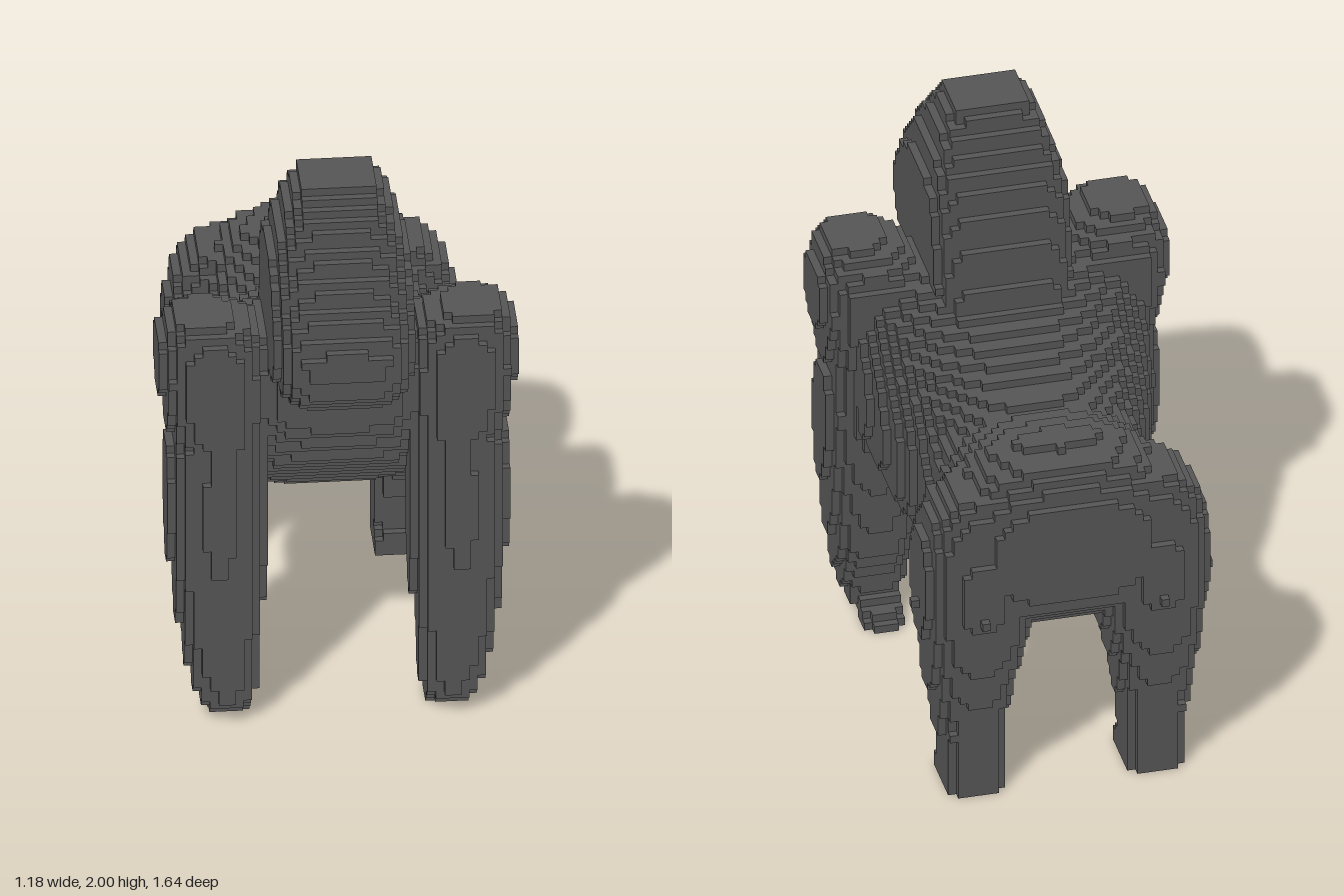
import * as THREE from 'three';

const V = 2 / 73; // edge of one cube

// Row of a cross-section: [position along axis, x min, x max, other min, other max]
const HEAD = [
  [1.29, -0.18, 0.18, 0.05, 0.70], [1.34, -0.22, 0.22, 0.08, 0.76], [1.40, -0.235, 0.235, 0.09, 0.80],
  [1.52, -0.235, 0.235, 0.11, 0.825], [1.60, -0.235, 0.235, 0.13, 0.78], [1.70, -0.23, 0.23, 0.16, 0.71],
  [1.80, -0.205, 0.205, 0.195, 0.645], [1.90, -0.17, 0.17, 0.245, 0.58], [2.01, -0.115, 0.115, 0.32, 0.485],
];
const BODY = [
  [-0.80, -0.22, 0.22, 0.81, 1.09], [-0.76, -0.31, 0.31, 0.72, 1.16], [-0.70, -0.36, 0.36, 0.65, 1.23],
  [-0.55, -0.375, 0.375, 0.60, 1.26], [-0.42, -0.355, 0.355, 0.60, 1.22], [-0.30, -0.35, 0.35, 0.60, 1.185],
  [-0.20, -0.37, 0.37, 0.60, 1.21], [-0.08, -0.425, 0.425, 0.60, 1.26], [0.05, -0.455, 0.455, 0.64, 1.33],
  [0.18, -0.49, 0.49, 0.71, 1.42], [0.30, -0.44, 0.44, 0.80, 1.47], [0.42, -0.38, 0.38, 0.93, 1.46],
  [0.50, -0.28, 0.28, 1.05, 1.42], [0.56, -0.17, 0.17, 1.14, 1.34],
];
const ARM = [
  [0.00, 0.29, 0.41, 0.29, 0.42], [0.04, 0.285, 0.435, 0.33, 0.50], [0.09, 0.275, 0.46, 0.40, 0.535],
  [0.16, 0.265, 0.485, 0.38, 0.54], [0.32, 0.255, 0.515, 0.30, 0.555], [0.50, 0.24, 0.54, 0.275, 0.56],
  [0.70, 0.23, 0.56, 0.24, 0.565], [0.86, 0.22, 0.57, 0.22, 0.565], [1.05, 0.23, 0.545, 0.21, 0.565],
  [1.18, 0.23, 0.57, 0.19, 0.585], [1.28, 0.225, 0.595, 0.18, 0.585], [1.39, 0.23, 0.595, 0.19, 0.58],
  [1.45, 0.26, 0.57, 0.24, 0.56], [1.505, 0.36, 0.54, 0.33, 0.52],
];
const LEG = [
  [0.00, 0.205, 0.40, -0.705, -0.485], [0.06, 0.205, 0.40, -0.705, -0.485], [0.08, 0.205, 0.40, -0.705, -0.52],
  [0.20, 0.20, 0.41, -0.705, -0.515], [0.30, 0.19, 0.425, -0.71, -0.48], [0.42, 0.17, 0.445, -0.74, -0.445],
  [0.55, 0.135, 0.46, -0.765, -0.44], [0.72, 0.11, 0.48, -0.785, -0.415], [0.90, 0.11, 0.48, -0.785, -0.415],
  [1.00, 0.13, 0.465, -0.775, -0.435], [1.08, 0.16, 0.435, -0.76, -0.46], [1.14, 0.20, 0.37, -0.73, -0.50],
];

// Tests a point against a stack of rounded cross-sections
function inside(rows, t, x, o, n) {
  for (let i = 1; i < rows.length; i++) {
    const a = rows[i - 1], b = rows[i];
    if (t < a[0] || t > b[0]) continue;
    const k = (t - a[0]) / (b[0] - a[0]);
    const [, x0, x1, o0, o1] = a.map((v, j) => v + (b[j] - v) * k);
    const dx = Math.abs(2 * x - x0 - x1) / (x1 - x0);
    const dOther = Math.abs(2 * o - o0 - o1) / (o1 - o0);
    return dx ** n + dOther ** n <= 1;
  }
  return false;
}

// Small single-cube tufts on the hips
const tufts = [[18, 26.5, -22.5], [11, 26.5, -29.5]];
const isTuft = (...p) => tufts.some((t) => t.every((v, a) => Math.abs(p[a] / V - v) < 0.4));

const arm = (x, y, z) => inside(ARM, y, x, z, 2.4);
const leg = (x, y, z) => inside(LEG, y, x, z, y < 0.25 ? 4 : 2.7) || isTuft(x, y, z);

const PARTS = [
  // flat back of the head, rounded muzzle
  ['head', (x, y, z) => inside(HEAD, y, x, z, z < 0.4 ? 6 : 3.8)],
  ['leftArm', arm],
  ['rightArm', (x, y, z) => arm(-x, y, z)],
  ['leftHindLeg', leg],
  ['rightHindLeg', (x, y, z) => leg(-x, y, z)],
  // rounded back, flatter belly
  ['torso', (x, y, z) => inside(BODY, z, x, y, y < 0.92 ? 3 : 2.6)],
];

export function createModel() {
  const group = new THREE.Group();
  const material = new THREE.MeshStandardMaterial({ color: 0x555555, flatShading: true });
  const size = [49, 75, 64], origin = [-24.5, -1, -32];
  const [NX, NY, NZ] = size;
  const grid = new Uint8Array(NX * NY * NZ);
  const at = (c) => c[0] + NX * (c[1] + NY * c[2]);

  // Fill the grid with part numbers
  const cells = PARTS.map(() => []);
  for (let k = 1; k < NZ - 1; k++) for (let j = 1; j < NY - 1; j++) for (let i = 1; i < NX - 1; i++) {
    const p = [i, j, k].map((v, a) => (v + origin[a] + 0.5) * V);
    const id = PARTS.findIndex(([, test]) => test(...p));
    if (id < 0) continue;
    grid[at([i, j, k])] = id + 1;
    cells[id].push([i, j, k]);
  }

  // Draw only the cube faces that border empty space
  PARTS.forEach(([name], id) => {
    const pos = [], index = [];
    for (const c of cells[id]) for (let axis = 0; axis < 3; axis++) for (const s of [0, 1]) {
      const next = [...c];
      next[axis] += s ? 1 : -1;
      if (grid[at(next)]) continue;
      const u = (axis + 1) % 3, w = (axis + 2) % 3, first = pos.length / 3;
      for (const [du, dw] of [[0, 0], [1, 0], [1, 1], [0, 1]]) {
        const q = [...c];
        q[axis] += s; q[u] += du; q[w] += dw;
        pos.push(...q.map((v, a) => (v + origin[a]) * V));
      }
      index.push(...(s ? [0, 1, 2, 0, 2, 3] : [0, 2, 1, 0, 3, 2]).map((v) => v + first));
    }
    const geometry = new THREE.BufferGeometry();
    geometry.setAttribute('position', new THREE.Float32BufferAttribute(pos, 3));
    geometry.setIndex(index);
    geometry.computeVertexNormals();
    const mesh = new THREE.Mesh(geometry, material);
    mesh.name = name;
    group.add(mesh);
  });
  return group;
}
